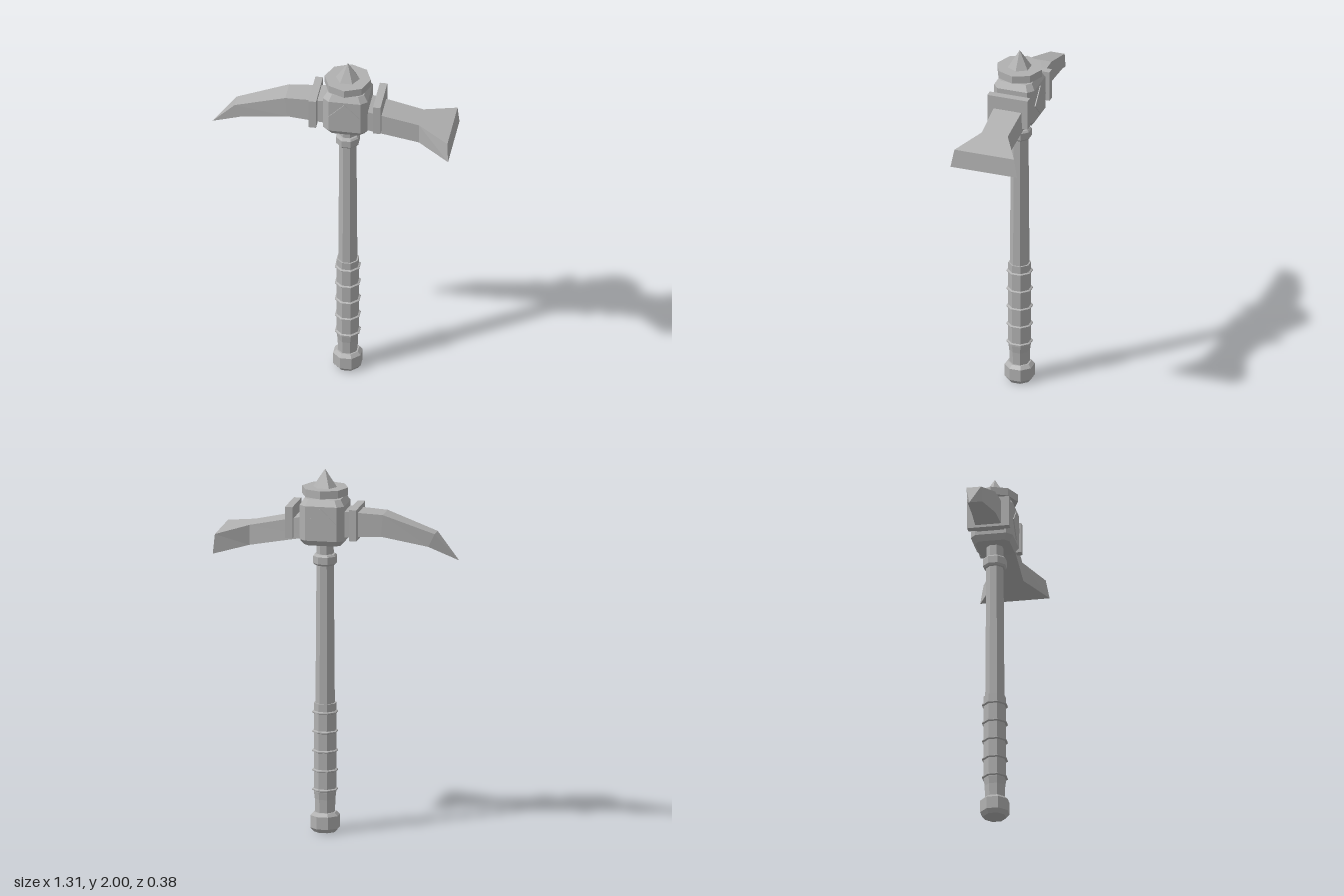
import * as THREE from 'three';
import { ConvexGeometry } from 'three/addons/geometries/ConvexGeometry.js';

const AXIS = 0.08; // x of the handle axis

export function createModel() {
  const group = new THREE.Group();
  const steel = new THREE.MeshStandardMaterial({ color: 0xb0b0b0, flatShading: true });
  steel.name = 'grey steel';

  const add = (name, geometry, x = AXIS, y = 0, z = 0) => {
    const mesh = new THREE.Mesh(geometry, steel);
    mesh.name = name;
    mesh.position.set(x, y, z);
    group.add(mesh);
    return mesh;
  };

  // Eight-sided turned part with flats facing front; radii are measured to the flats
  const turned = (name, profile) => {
    const pts = profile.map(([r, y]) => new THREE.Vector2(r / Math.cos(Math.PI / 8), y));
    add(name, new THREE.LatheGeometry(pts, 8, Math.PI / 8));
  };

  // Four-sided loft along +x; section = bottom x, y, half width, then top x, y, half width
  const loft = (name, sections) => {
    const pos = [];
    const idx = [];
    for (const [xb, yb, zb, xt, yt, zt] of sections) {
      pos.push(xt, yt, zt, xb, yb, zb, xb, yb, -zb, xt, yt, -zt);
    }
    const last = (sections.length - 1) * 4;
    for (let i = 0; i < last; i += 4) {
      for (let k = 0; k < 4; k++) {
        const a = i + k, b = i + (k + 1) % 4;
        idx.push(a, b, b + 4, a, b + 4, a + 4);
      }
    }
    idx.push(0, 2, 1, 0, 3, 2, last, last + 1, last + 2, last, last + 2, last + 3);
    const g = new THREE.BufferGeometry();
    g.setAttribute('position', new THREE.Float32BufferAttribute(pos, 3));
    g.setIndex(idx);
    const flat = g.toNonIndexed();
    flat.computeVertexNormals();
    add(name, flat, 0);
  };

  // Handle
  turned('pommel', [[0, 0], [0.058, 0], [0.075, 0.022], [0.075, 0.09], [0.058, 0.108], [0, 0.108]]);
  turned('grip', [[0, 0.1], [0.05, 0.1], [0.052, 0.18], [0.057, 0.22], [0.057, 0.71], [0, 0.71]]);
  for (let i = 0; i < 5; i++) {
    const y = 0.232 + i * 0.107;
    turned('gripRing', [[0.054, y - 0.009], [0.066, y - 0.003], [0.066, y + 0.003], [0.054, y + 0.009]]);
  }
  turned('shaft', [[0, 0.7], [0.049, 0.7], [0.043, 1.62], [0, 1.62]]);
  turned('collar', [[0.04, 1.47], [0.053, 1.473], [0.061, 1.483], [0.061, 1.522], [0.053, 1.532], [0.04, 1.535]]);

  // Bevelled head block
  const corners = [];
  for (const [y, s] of [[1.595, 0.82], [1.625, 1], [1.815, 1], [1.85, 0.82]]) {
    for (const sx of [-1, 1]) for (const sz of [-1, 1]) {
      corners.push(new THREE.Vector3(sx * 0.122 * s, y, sz * 0.085 * s));
      corners.push(new THREE.Vector3(sx * 0.087 * s, y, sz * 0.115 * s));
    }
  }
  add('headBlock', new ConvexGeometry(corners));

  // Raised diamonds on the front and back
  for (const s of [-1, 1]) {
    const d = add('diamondPlate', new THREE.CylinderGeometry(0.085, 0.085, 0.009, 4), AXIS, 1.72, s * 0.1155);
    d.rotation.x = Math.PI / 2;
  }

  // Cap disc and spike
  add('capNeck', new THREE.CylinderGeometry(0.065, 0.065, 0.03, 8), AXIS, 1.855);
  add('capDisc', new THREE.CylinderGeometry(0.126, 0.126, 0.043, 8), AXIS, 1.881);
  add('spike', new THREE.ConeGeometry(0.067, 0.1, 6, 1, false, Math.PI / 6 * 3), AXIS, 1.95);

  // Clamps on both sides of the head
  for (const x of [-0.095, 0.256]) {
    add('clamp', new THREE.BoxGeometry(0.041, 0.172, 0.23), x, 1.72);
  }

  // Curved pick
  loft('pick', [
    [-0.657, 1.53, 0, -0.657, 1.53, 0],
    [-0.495, 1.606, 0.04, -0.53, 1.678, 0.04],
    [-0.24, 1.655, 0.064, -0.25, 1.775, 0.064],
    [0, 1.642, 0.076, 0, 1.788, 0.076],
  ]);

  // Flared adze blade
  loft('adzeBlade', [
    [0.12, 1.645, 0.088, 0.12, 1.763, 0.083],
    [0.48, 1.578, 0.08, 0.48, 1.687, 0.074],
    [0.657, 1.546, 0.19, 0.65, 1.65, 0.17],
  ]);

  return group;
}
